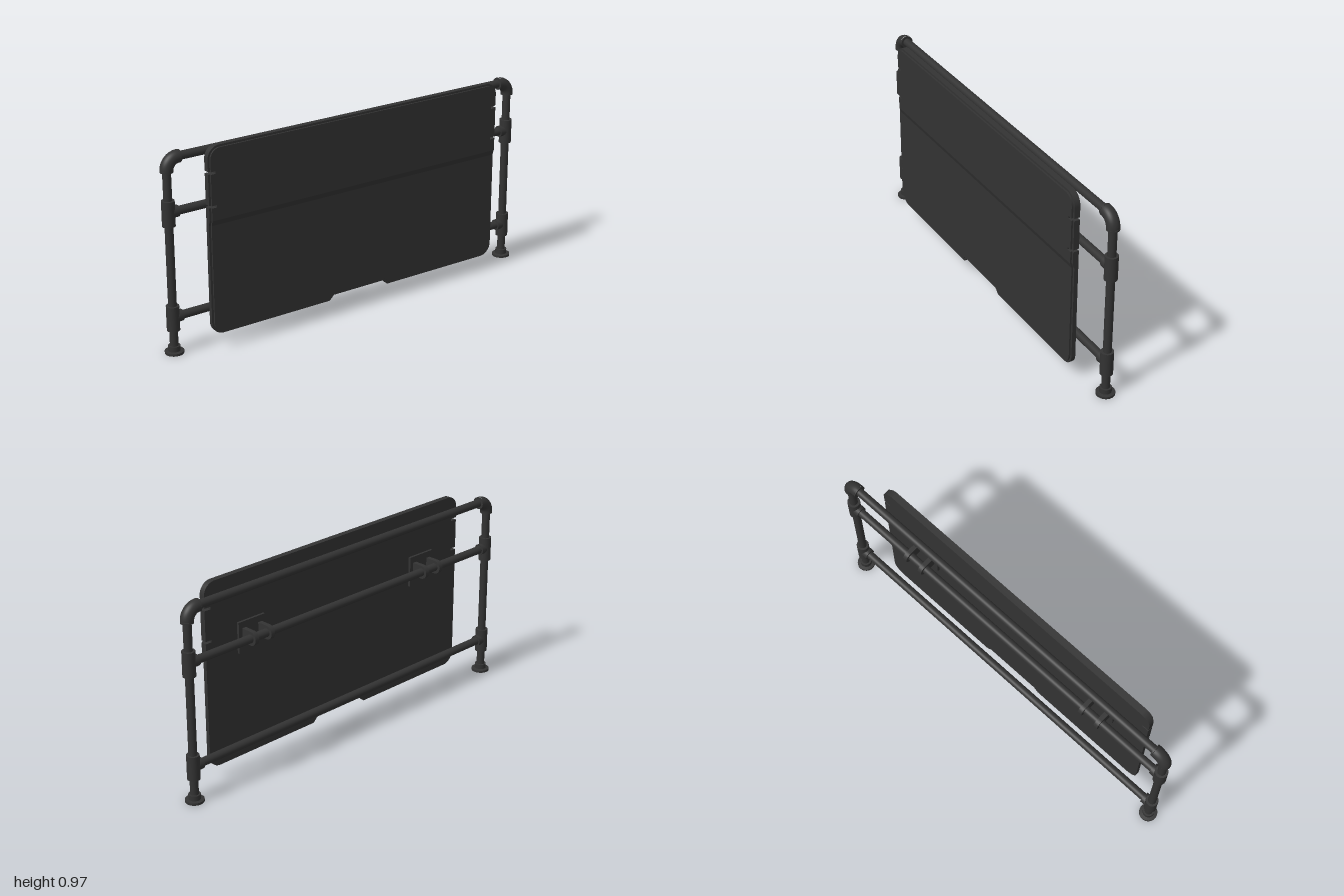
import * as THREE from 'three';

const PX = -0.031, POST_Z = 0.956;      // pipe plane and post position
const MID_Y = 0.675, LOW_Y = 0.175, TOP_Y = 0.925;
const material = new THREE.MeshStandardMaterial({ color: 0x333333 });

function add(parent, name, geometry, x = 0, y = 0, z = 0) {
  const mesh = new THREE.Mesh(geometry, material);
  mesh.name = name;
  mesh.position.set(x, y, z);
  parent.add(mesh);
  return mesh;
}

const upright = (r, h) => new THREE.CylinderGeometry(r, r, h, 32);
const lengthwise = (r, h) => upright(r, h).rotateX(Math.PI / 2);

// Extrudes an outline drawn in (z, y) along +x
function slab(shape, thickness) {
  return new THREE.ExtrudeGeometry(shape, { depth: thickness, bevelEnabled: false, curveSegments: 10 })
    .rotateY(Math.PI / 2);
}

// Upper half of the screen: rounded top corners, two slots in each side
function upperOutline(w, top, bottom, r) {
  const s = new THREE.Shape();
  s.moveTo(-w, bottom);
  s.lineTo(w, bottom);
  for (const [a, b] of [[0.69, 0.701], [0.846, 0.858]]) {
    s.lineTo(w, a); s.lineTo(0.772, a); s.lineTo(0.772, b); s.lineTo(w, b);
  }
  s.lineTo(w, top - r);
  s.absarc(w - r, top - r, r, 0, Math.PI / 2, false);
  s.absarc(-w + r, top - r, r, Math.PI / 2, Math.PI, false);
  for (const [a, b] of [[0.846, 0.858], [0.69, 0.701]]) {
    s.lineTo(-w, b); s.lineTo(-0.772, b); s.lineTo(-0.772, a); s.lineTo(-w, a);
  }
  s.closePath();
  return s;
}

// Lower half: rounded bottom corners and a shallow central cut-out
function lowerOutline(w, top, bottom, r, inset) {
  const s = new THREE.Shape();
  s.moveTo(w, top);
  s.lineTo(-w, top);
  s.lineTo(-w, bottom + r);
  s.absarc(-w + r, bottom + r, r, Math.PI, Math.PI * 1.5, false);
  s.lineTo(-0.168 - inset / 2, bottom);
  s.lineTo(-0.143 - inset / 2, bottom + 0.024);
  s.lineTo(0.143 + inset / 2, bottom + 0.024);
  s.lineTo(0.168 + inset / 2, bottom);
  s.lineTo(w - r, bottom);
  s.absarc(w - r, bottom + r, r, Math.PI * 1.5, Math.PI * 2, false);
  s.closePath();
  return s;
}

function createScreen() {
  const screen = new THREE.Group();
  screen.name = 'screenPanel';
  const back = 0.035, lowX = 0.055, highX = 0.063, lip = 0.008;
  const rampLow = 0.605, rampHigh = 0.63;
  // The face layer is slightly smaller than the shell behind it
  for (const [name, inset, x0, x1, x2] of [
    ['shell', 0, back, lowX, highX],
    ['face', 0.01, lowX, lowX + lip, highX + lip],
  ]) {
    const w = 0.806 - inset, r = 0.06 - inset;
    const upperStart = inset ? highX : back;
    add(screen, name + 'Lower', slab(lowerOutline(w, rampLow, 0.075 + inset, r, inset), x1 - x0), x0);
    add(screen, name + 'Upper', slab(upperOutline(w, 0.973 - inset, rampHigh, r), x2 - upperStart), upperStart);
    // Sloped strip joining the thin lower half to the thick upper half
    const ramp = new THREE.Shape([
      new THREE.Vector2(x0, rampLow), new THREE.Vector2(x1, rampLow),
      new THREE.Vector2(x2, rampHigh), new THREE.Vector2(upperStart, rampHigh),
    ]);
    add(screen, name + 'Ramp',
      new THREE.ExtrudeGeometry(ramp, { depth: 2 * w, bevelEnabled: false }), 0, 0, -w);
  }
  return screen;
}

// Flanged foot, post, tees and corner elbow for the +z end
function createPost() {
  const post = new THREE.Group();
  post.name = 'endPost';
  add(post, 'pipe', upright(0.0195, 0.86), PX, 0.44, POST_Z);
  const foot = [[0, 0], [0.044, 0], [0.044, 0.011], [0.028, 0.013], [0.028, 0.037], [0, 0.037]];
  // Separate straight bands keep the foot edges crisp
  for (let i = 0; i < foot.length - 1; i++) {
    const band = [foot[i], foot[i + 1]].map(([r, y]) => new THREE.Vector2(r, y));
    add(post, 'foot', new THREE.LatheGeometry(band, 32), PX, 0, POST_Z);
  }
  for (const y of [LOW_Y, MID_Y]) {
    add(post, 'teeSleeve', upright(0.03, 0.119), PX, y - 0.003, POST_Z);
    add(post, 'teeBranch', lengthwise(0.027, 0.045), PX, y, POST_Z - 0.0225);
  }
  const R = 0.056, points = [];
  for (let i = 0; i <= 12; i++) {
    const a = (i / 12) * Math.PI / 2;
    points.push(new THREE.Vector3(PX, TOP_Y - R + R * Math.sin(a), POST_Z - R + R * Math.cos(a)));
  }
  add(post, 'elbow', new THREE.TubeGeometry(new THREE.CatmullRomCurve3(points), 20, 0.03, 32));
  add(post, 'elbowCollar', upright(0.03, 0.007), PX, TOP_Y - R - 0.0035, POST_Z);
  add(post, 'elbowCollar', lengthwise(0.03, 0.007), PX, TOP_Y, POST_Z - R - 0.0035);
  return post;
}

// Plate with two pipe clamps, centred on z = 0
function createBracket() {
  const bracket = new THREE.Group();
  bracket.name = 'mountBracket';
  add(bracket, 'plate', new THREE.BoxGeometry(0.013, 0.15, 0.155), 0.0295, 0.664);
  const s = new THREE.Shape();
  s.moveTo(0.025, MID_Y - 0.033);
  s.lineTo(0.025, MID_Y + 0.033);
  s.lineTo(PX, MID_Y + 0.033);
  s.absarc(PX, MID_Y, 0.033, Math.PI / 2, Math.PI * 1.5, false);
  s.closePath();
  const clamp = new THREE.ExtrudeGeometry(s, { depth: 0.022, bevelEnabled: false, curveSegments: 24 });
  for (const z of [-0.047, 0.047]) add(bracket, 'clamp', clamp, 0, 0, z - 0.011);
  return bracket;
}

export function createModel() {
  const model = new THREE.Group();
  model.name = 'pipeFrameScreen';
  for (const [name, y] of [['topRail', TOP_Y], ['middleRail', MID_Y], ['lowerRail', LOW_Y]]) {
    add(model, name, lengthwise(0.0195, 1.83), PX, y, 0);
  }
  for (const side of [1, -1]) {
    const post = createPost();
    // A half turn about the pipe plane gives the opposite end
    if (side < 0) { post.rotation.y = Math.PI; post.position.x = 2 * PX; }
    model.add(post);
    const bracket = createBracket();
    bracket.position.z = side * 0.548;
    model.add(bracket);
  }
  model.add(createScreen());
  return model;
}
